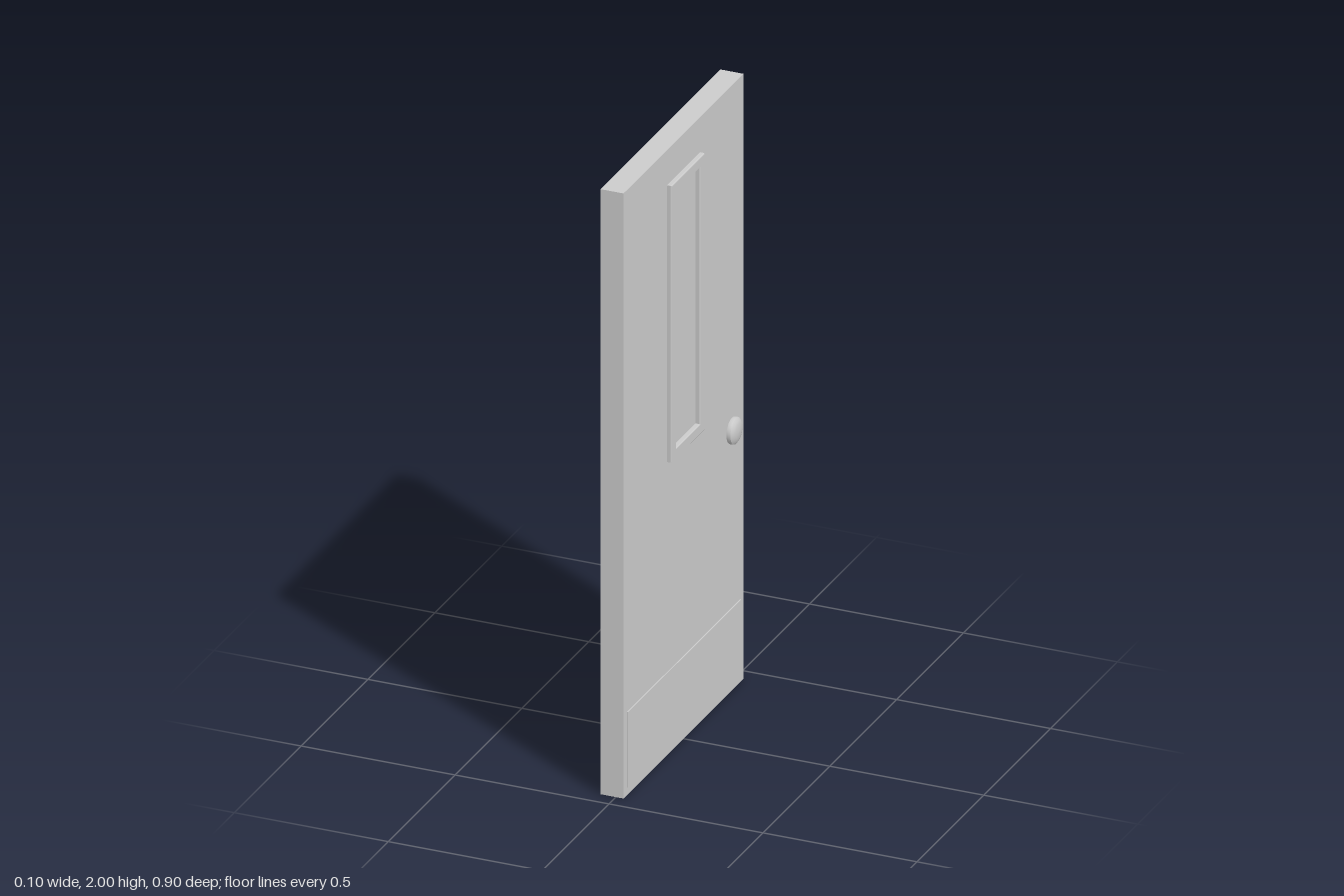
import * as THREE from 'three';

const grey = new THREE.MeshStandardMaterial({ color: 0xcccccc });
const FACE = 0.025; // x of the door's outer face

function box(name, x0, x1, y0, y1, halfWidth) {
  const mesh = new THREE.Mesh(new THREE.BoxGeometry(x1 - x0, y1 - y0, halfWidth * 2), grey);
  mesh.position.set((x0 + x1) / 2, (y0 + y1) / 2, 0);
  mesh.name = name;
  return mesh;
}

// Corners of an upright rectangle
function rectangle(halfWidth, y0, y1) {
  return [[-halfWidth, y0], [halfWidth, y0], [halfWidth, y1], [-halfWidth, y1]]
    .map(([x, y]) => new THREE.Vector2(x, y));
}

// Raised window moulding with slightly eased edges
function createWindowFrame() {
  const bevel = 0.003;
  const depth = 0.015;
  const shape = new THREE.Shape(rectangle(0.124 - bevel, 0.969 + bevel, 1.884 - bevel));
  shape.holes.push(new THREE.Path(rectangle(0.089 + bevel, 1.003 - bevel, 1.85 + bevel)));
  const geometry = new THREE.ExtrudeGeometry(shape, {
    depth: depth - bevel, bevelThickness: bevel, bevelSize: bevel, bevelSegments: 2,
  });
  geometry.rotateY(Math.PI / 2);
  const frame = new THREE.Mesh(geometry, grey);
  frame.position.x = FACE;
  frame.name = 'windowFrame';
  return frame;
}

// Round knob: straight rim and a shallow domed face, creased where they meet
function createKnob() {
  const knob = new THREE.Group();
  knob.name = 'knob';
  const profiles = {
    knobRim: [[0.042, 0], [0.043, 0.006], [0.042, 0.013]],
    knobFace: [[0.042, 0.013], [0.034, 0.019], [0.024, 0.022], [0.012, 0.024], [0, 0.0245]],
  };
  for (const [name, points] of Object.entries(profiles)) {
    const geometry = new THREE.LatheGeometry(points.map(([r, h]) => new THREE.Vector2(r, h)), 40);
    geometry.rotateZ(-Math.PI / 2);
    const mesh = new THREE.Mesh(geometry, grey);
    mesh.name = name;
    knob.add(mesh);
  }
  knob.position.set(FACE, 0.86, -0.363);
  return knob;
}

export function createModel() {
  const door = new THREE.Group();
  door.name = 'door';
  door.add(
    box('doorSlab', -0.05, FACE, 0, 2, 0.449),
    box('kickPlate', FACE, 0.029, 0.025, 0.275, 0.423),
    createWindowFrame(),
    createKnob(),
  );
  return door;
}
